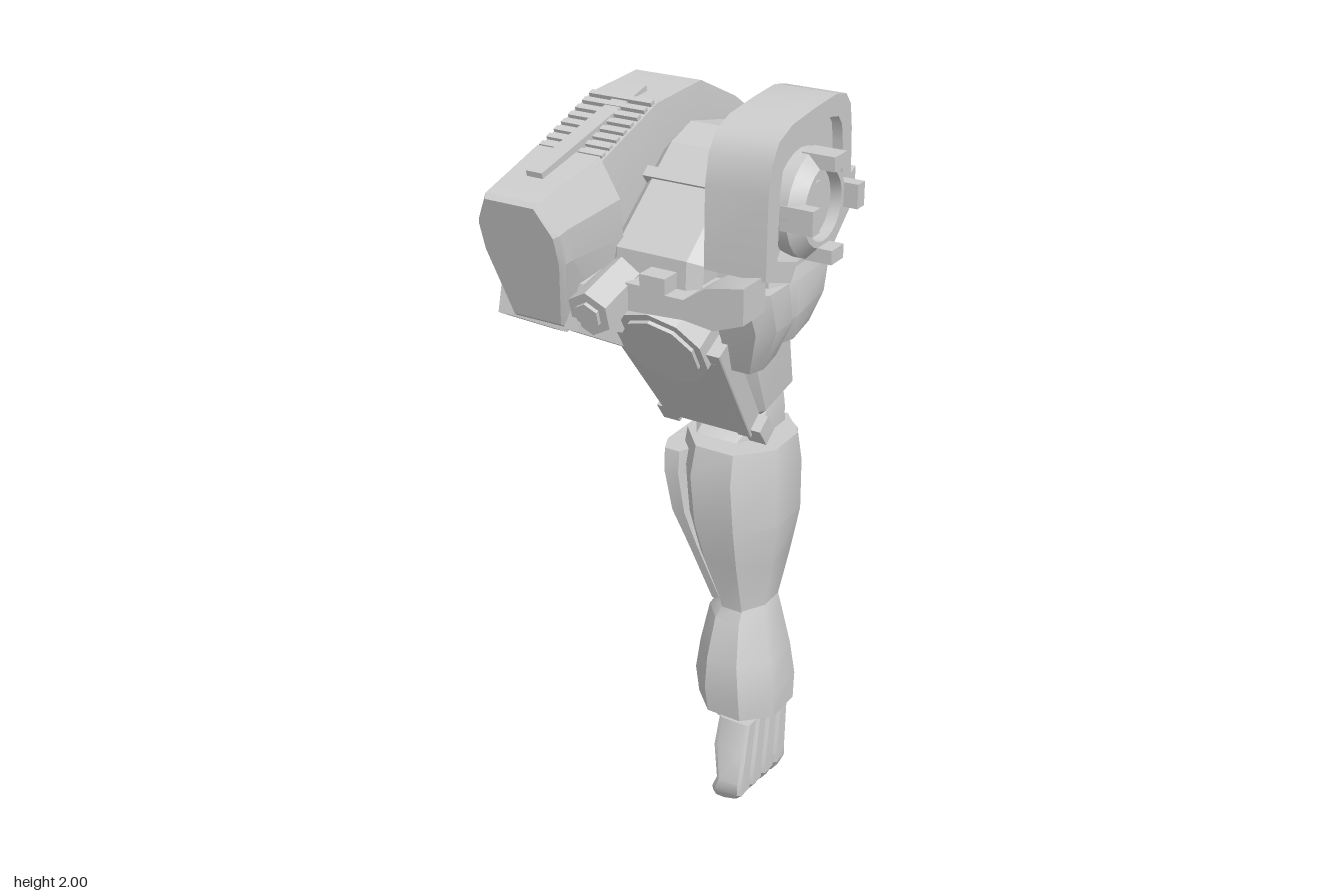
import * as THREE from 'three';
import { toCreasedNormals } from 'three/addons/utils/BufferGeometryUtils.js';

export function createModel() {
  const model = new THREE.Group();
  model.name = 'mechanicalArm';
  const grey = new THREE.MeshStandardMaterial({ color: 0xcccccc });
  grey.name = 'armourGrey';

  const add = (name, geo, crease = 0.5) => {
    const mesh = new THREE.Mesh(toCreasedNormals(geo, crease), grey);
    mesh.name = name;
    model.add(mesh);
    return mesh;
  };

  // Box given by centre and size, tilted about x
  const box = (name, c, s, tilt = 0) => {
    const m = add(name, new THREE.BoxGeometry(...s));
    m.position.set(...c);
    m.rotation.x = tilt;
    return m;
  };

  // Side profile of [z, y] points, extruded from x0 to x1; holes run the opposite way
  const toPoints = pts => pts.map(([z, y]) => new THREE.Vector2(-z, y));
  const prism = (name, pts, x0, x1, hole, bevel = 0, crease = 0.5) => {
    const shape = new THREE.Shape(toPoints(pts));
    if (hole) shape.holes.push(new THREE.Path(toPoints(hole).reverse()));
    const geo = new THREE.ExtrudeGeometry(shape, {
      depth: x1 - x0 - 2 * bevel, bevelEnabled: bevel > 0,
      bevelSize: bevel, bevelThickness: bevel, bevelOffset: -bevel, bevelSegments: 1,
    });
    geo.rotateY(Math.PI / 2).translate(x0 + bevel, 0, 0);
    return add(name, geo, crease);
  };

  // Loft of chamfered sections [x0, x1, zA, yA, zB, yB]; A and B are opposite edges
  const loft = (name, sections, cu = 0.55, cv = 0.55, crease = 0.5, low = -cv) => {
    const ring = [[cu, 1], [1, cv], [1, low], [cu, -1], [-cu, -1], [-1, low], [-1, cv], [-cu, 1]];
    const pos = [], idx = [], n = ring.length;
    for (const [x0, x1, zA, yA, zB, yB] of sections) {
      for (const [u, v] of ring) {
        const t = (1 - v) / 2;
        pos.push((x0 + x1) / 2 + u * (x1 - x0) / 2, yA + (yB - yA) * t, zA + (zB - zA) * t);
      }
    }
    const last = (sections.length - 1) * n;
    for (let s = 0; s < last; s += n) {
      for (let i = 0; i < n; i++) {
        const j = (i + 1) % n;
        idx.push(s + i, s + n + i, s + j, s + j, s + n + i, s + n + j);
      }
    }
    for (let i = 1; i < n - 1; i++) idx.push(0, i, i + 1, last, last + i + 1, last + i);
    // Signed volume decides which way the corners run
    let vol = 0;
    const p = k => new THREE.Vector3().fromArray(pos, k * 3);
    for (let i = 0; i < idx.length; i += 3) vol += p(idx[i]).dot(p(idx[i + 1]).cross(p(idx[i + 2])));
    if (vol < 0) idx.reverse();
    const geo = new THREE.BufferGeometry();
    geo.setAttribute('position', new THREE.Float32BufferAttribute(pos, 3));
    geo.setIndex(idx);
    return add(name, geo, crease);
  };

  // Launcher pod: long body, flared front cowl and front rim
  loft('podBody', [
    [-0.33, -0.13, 0.27, 1.85, 0.2, 1.42],
    [-0.34, -0.13, 0.0, 1.94, 0.08, 1.43],
    [-0.34, -0.13, -0.2, 1.95, -0.12, 1.5],
    [-0.335, -0.13, -0.37, 1.87, -0.3, 1.56],
    [-0.33, -0.13, -0.475, 1.8, -0.45, 1.74],
  ], 0.92, 0.62, 0.3);
  loft('podCowl', [
    [-0.37, -0.095, 0.24, 1.87, 0.2, 1.44],
    [-0.345, -0.115, 0.43, 1.83, 0.36, 1.48],
    [-0.345, -0.115, 0.465, 1.82, 0.38, 1.49],
    [-0.335, -0.125, 0.478, 1.81, 0.393, 1.5],
  ], 0.65, 0.55, 0.2, 0.1);

  // Lower pod skirt: core and two raised side frames
  const skirt = [[0.36, 1.6], [0.39, 1.49], [0.17, 1.365], [-0.3, 1.55], [-0.43, 1.72], [-0.05, 1.68]];
  const inset = skirt.map(([z, y]) => [0.02 + (z - 0.02) * 0.88, 1.56 + (y - 1.56) * 0.8]);
  prism('podSkirtCore', inset, -0.335, -0.13);
  for (const x of [-0.35, -0.155]) prism('podSkirtFrame', skirt, x, x + 0.04, inset);

  // Vent slats and spine on the pod roof
  for (let i = 0; i < 8; i++) {
    const z = 0.01 + i * 0.03;
    box('ventSlat', [-0.233, 1.93 - i * 0.0105, z], [0.18, 0.035, 0.016], 0.35);
  }
  box('ventSpine', [-0.233, 1.878, 0.15], [0.045, 0.06, 0.45], 0.23);

  // Shoulder block between pod and shoulder plate, with a seam on its front slope
  prism('shoulderBlock', [
    [0.25, 1.58], [0.245, 1.66], [0.0, 1.85], [-0.09, 1.88], [-0.27, 1.84],
    [-0.29, 1.74], [-0.18, 1.57], [0.1, 1.5], [0.2, 1.5],
  ], -0.13, 0.125, null, 0.03, 0.25);
  box('blockSeam', [-0.035, 1.785, 0.07], [0.18, 0.03, 0.03], 0.66);

  // Rear rails running up and back beneath the block
  prism('podRail', [[-0.04, 1.56], [-0.06, 1.62], [-0.33, 1.76], [-0.355, 1.74], [-0.345, 1.69]], -0.12, -0.04);
  prism('middleRail', [[-0.05, 1.55], [-0.06, 1.6], [-0.29, 1.71], [-0.285, 1.65]], 0.0, 0.07);
  prism('rearBeam', [[-0.05, 1.59], [-0.05, 1.66], [-0.29, 1.77], [-0.29, 1.7]], 0.1, 0.255);

  // Arched shoulder plate with a recessed face
  const arch = [
    [0.22, 1.64], [0.215, 1.84], [0.2, 1.91], [0.17, 1.955], [0.11, 1.98], [0.0, 1.993], [-0.1, 2.0],
    [-0.15, 1.99], [-0.175, 1.96], [-0.185, 1.9], [-0.195, 1.7], [-0.1, 1.62], [0.1, 1.6],
  ];
  const archInner = arch.map(([z, y]) => [z * 0.76, 1.79 + (y - 1.79) * 0.77]);
  prism('shoulderArch', arch, 0.127, 0.292, archInner, 0, 0.7);
  prism('shoulderFace', archInner, 0.14, 0.265);

  // Shoulder hub: stepped ring with four lugs
  const hub = new THREE.Group();
  hub.name = 'shoulderHub';
  hub.position.set(0, 1.77, 0.015);
  const profile = [[0, 0.24], [0.13, 0.24], [0.13, 0.3], [0.1, 0.33], [0.085, 0.33], [0.085, 0.3], [0.055, 0.3], [0.055, 0.31], [0, 0.31]];
  const ring = add('hubRing', new THREE.LatheGeometry(profile.map(q => new THREE.Vector2(...q)), 24));
  ring.rotation.z = -Math.PI / 2;
  hub.add(ring);
  for (let i = 0; i < 4; i++) {
    const lug = add('hubLug', new THREE.BoxGeometry(0.085, 0.035, 0.06).translate(0.325, 0.112, 0));
    lug.rotation.x = i * Math.PI / 2;
    hub.add(lug);
  }
  model.add(hub);

  // Cuff beneath the hub
  loft('shoulderCuff', [
    [0.08, 0.28, 0.14, 1.68, -0.14, 1.68],
    [0.07, 0.3, 0.16, 1.6, -0.15, 1.61],
    [0.08, 0.3, 0.15, 1.5, -0.12, 1.54],
    [0.08, 0.28, 0.1, 1.43, -0.06, 1.47],
  ], 0.7, 0.5);

  // Front bracket with a cheek running down beside the disc
  const bracket = new THREE.Shape([
    [-0.04, 1.6], [0.0, 1.6], [0.0, 1.63], [0.07, 1.63], [0.07, 1.59], [0.12, 1.59], [0.18, 1.63],
    [0.28, 1.65], [0.28, 1.56], [0.2, 1.53], [0.12, 1.54], [-0.04, 1.53],
  ].map(q => new THREE.Vector2(...q)));
  add('frontBracket', new THREE.ExtrudeGeometry(bracket, { depth: 0.1, bevelEnabled: false }).translate(0, 0, 0.2));
  loft('bracketCheek', [
    [0.1, 0.29, 0.24, 1.6, 0.05, 1.6],
    [0.13, 0.295, 0.21, 1.5, 0.05, 1.5],
    [0.13, 0.24, 0.16, 1.37, 0.04, 1.4],
  ], 0.6, 0.5);

  // Hexagonal bolt and socket on the bracket
  for (const [r, len] of [[0.06, 0.24], [0.035, 0.26]]) {
    const bolt = add('hexBolt', new THREE.CylinderGeometry(r, r, len, 6));
    bolt.rotation.x = Math.PI / 2 + 0.25;
    bolt.position.set(-0.085, 1.57, 0.27);
  }

  // Faceted disc above the upper arm
  for (const [r, len] of [[0.125, 0.16], [0.105, 0.18]]) {
    const disc = add('armDisc', new THREE.CylinderGeometry(r, r, len, 10));
    disc.rotation.x = Math.PI / 2 + 0.5;
    disc.position.set(0.02, 1.46, 0.17);
  }

  // Upper arm, front guard and its side rails
  loft('upperArm', [
    [-0.1, 0.17, 0.16, 1.46, -0.12, 1.62],
    [-0.125, 0.18, 0.15, 1.37, -0.17, 1.46],
    [-0.11, 0.16, 0.03, 1.17, -0.225, 1.22],
    [-0.08, 0.13, -0.02, 1.14, -0.2, 1.19],
  ], 0.6, 0.55);
  loft('frontGuard', [
    [-0.13, 0.17, 0.21, 1.4, 0.13, 1.45],
    [-0.085, 0.125, 0.03, 1.13, -0.04, 1.18],
  ], 0.9, 0.9);
  for (const s of [-1, 1]) {
    const rail = (inner, outer) => [0.02 + s * inner, 0.02 + s * outer].sort((a, b) => a - b);
    loft('guardRail', [
      [...rail(0.11, 0.155), 0.23, 1.43, 0.17, 1.46],
      [...rail(0.085, 0.125), 0.02, 1.12, -0.03, 1.16],
    ], 0.9, 0.9);
    box('guardHook', [0.02 + s * 0.13, 1.135, -0.01], [0.05, 0.06, 0.05], 0.6);
  }
  prism('supportStrut', [[0.37, 1.5], [0.36, 1.54], [0.14, 1.46], [0.15, 1.4]], -0.13, -0.07);

  // Elbow joint
  const elbow = add('elbowDisc', new THREE.CylinderGeometry(0.115, 0.115, 0.13, 24));
  elbow.rotation.z = Math.PI / 2;
  elbow.position.set(0.03, 1.08, -0.135);
  loft('elbowCore', [
    [-0.06, 0.12, -0.06, 1.13, -0.235, 1.2],
    [-0.07, 0.13, 0.0, 1.08, -0.25, 1.08],
    [-0.06, 0.12, 0.0, 1.0, -0.23, 1.0],
  ], 0.6, 0.5);

  // Forearm: upper shell, side and rear plates, wrist guard and wrist
  const level = (y, x0, x1, zf, zb) => [x0, x1, zf, y, zb, y];
  loft('forearm', [
    level(1.08, -0.07, 0.195, 0.065, -0.225),
    level(1.0, -0.08, 0.205, 0.085, -0.24),
    level(0.86, -0.07, 0.21, 0.08, -0.225),
    level(0.74, -0.035, 0.195, 0.06, -0.185),
    level(0.6, 0.025, 0.17, 0.03, -0.15),
    level(0.54, 0.03, 0.17, 0.03, -0.14),
  ], 0.42, 0.42, 0.75);
  loft('forearmOuterPlate', [
    level(1.04, -0.12, -0.03, 0.05, -0.2),
    level(0.98, -0.115, -0.03, 0.06, -0.24),
    level(0.86, -0.095, -0.02, 0.05, -0.22),
    level(0.76, -0.055, 0.0, 0.03, -0.16),
    level(0.58, 0.0, 0.05, -0.01, -0.1),
  ], 0.5, 0.6);
  loft('forearmRearPlate', [
    level(1.04, -0.07, 0.145, -0.15, -0.27),
    level(0.97, -0.07, 0.15, -0.15, -0.265),
    level(0.86, -0.06, 0.15, -0.14, -0.243),
    level(0.74, -0.01, 0.14, -0.1, -0.195),
  ], 0.6, 0.4);
  loft('wristGuard', [
    level(0.6, 0.03, 0.17, 0.025, -0.145),
    level(0.56, 0.005, 0.18, 0.045, -0.155),
    level(0.45, -0.01, 0.21, 0.085, -0.17),
    level(0.36, -0.02, 0.23, 0.095, -0.165),
    level(0.28, -0.01, 0.23, 0.09, -0.155),
  ], 0.42, 0.45, 0.75);
  loft('wrist', [level(0.3, 0.03, 0.2, 0.07, -0.13), level(0.255, 0.04, 0.2, 0.065, -0.14)]);

  // Four fingers, each with a knuckle bend and a curled tip
  for (let i = 0; i < 4; i++) {
    const top = 0.076 - i * 0.06, knuckle = 0.128 - i * 0.066, tip = knuckle - 0.012;
    const drop = 0.03 - i * 0.01;
    loft('finger', [
      level(0.28, 0.1, 0.195, top + 0.022, top - 0.022),
      level(0.2, 0.1, 0.2, (top + knuckle) / 2 + 0.025, (top + knuckle) / 2 - 0.025),
      level(0.1 + drop / 2, 0.125, 0.205, knuckle + 0.028, knuckle - 0.028),
      level(0.065 + drop / 2, 0.11, 0.205, knuckle + 0.028, knuckle - 0.028),
      [0.105, 0.18, tip + 0.025, 0.022 + drop, tip - 0.024, 0.012 + drop],
      [0.11, 0.145, tip + 0.02, 0.01 + drop, tip - 0.02, 0.002 + drop],
    ], 0.75, 0.75);
  }
  return model;
}
